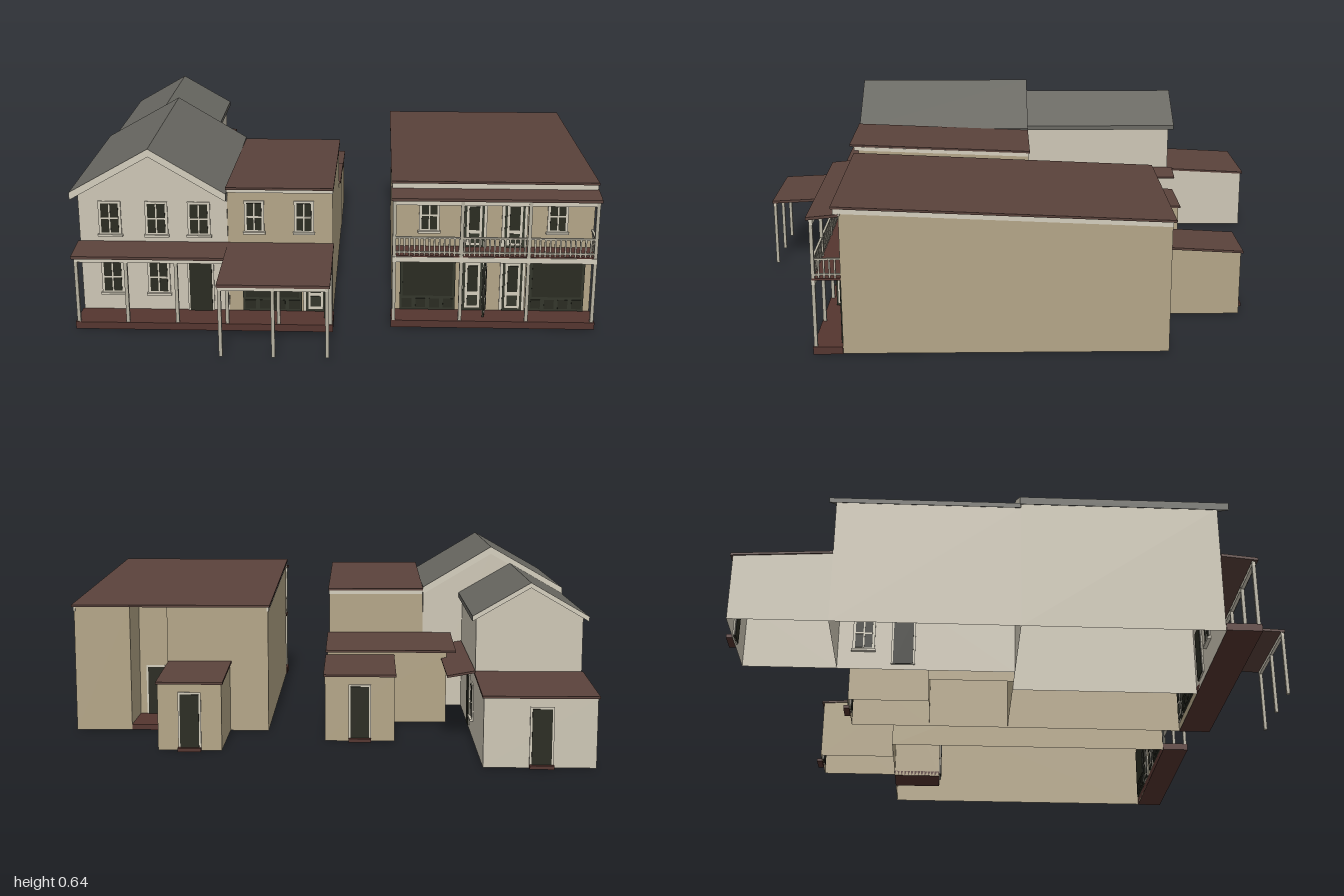
import * as THREE from 'three';

const mat = (name, color, side = THREE.FrontSide) => {
  const m = new THREE.MeshStandardMaterial({ color, side });
  m.name = name;
  return m;
};

export function createModel() {
  const root = new THREE.Group();
  const M = {
    white: mat('whitewash', 0xcdc6b5, THREE.DoubleSide),
    tan: mat('tanBoards', 0xb3a587, THREE.DoubleSide),
    brown: mat('brownRoof', 0x5a423b),
    grey: mat('greyShingle', 0x696862),
    deck: mat('redBrownWood', 0x55352f),
    trim: mat('paleTrim', 0xd3cdbc),
    post: mat('postPaint', 0xb5b0a0),
    glass: mat('darkGlass', 0x2a2b21),
    door: mat('darkGreenWood', 0x33362b),
  };

  const add = (name, geo, material, parent = root) => {
    const mesh = new THREE.Mesh(geo, material);
    mesh.name = name;
    parent.add(mesh);
    return mesh;
  };
  // box from min/max extents
  const box = (name, m, x0, x1, y0, y1, z0, z1, parent) => {
    const b = add(name, new THREE.BoxGeometry(x1 - x0, y1 - y0, z1 - z0), m, parent);
    b.position.set((x0 + x1) / 2, (y0 + y1) / 2, (z0 + z1) / 2);
    return b;
  };
  // open-bottomed wall shell around a plan, with its top following a rule
  const walls = (name, m, plan, top) => {
    const p = [];
    plan.forEach(([xa, za], i) => {
      const [xb, zb] = plan[(i + 1) % plan.length];
      const ya = top(xa, za), yb = top(xb, zb);
      p.push(xa, 0, za, xb, 0, zb, xb, yb, zb, xa, 0, za, xb, yb, zb, xa, ya, za);
    });
    const g = new THREE.BufferGeometry();
    g.setAttribute('position', new THREE.Float32BufferAttribute(p, 3));
    g.computeVertexNormals();
    return add(name, g, m);
  };
  const rect = (x0, x1, z0, z1) => [[x0, z1], [x1, z1], [x1, z0], [x0, z0]];
  // slab sloping along z; y values are its top surface
  const slab = (name, m, x0, x1, zf, yf, zb, yb, t = 0.008) => {
    const g = new THREE.BoxGeometry(x1 - x0, t, zf - zb);
    const a = g.attributes.position;
    for (let i = 0; i < a.count; i++) {
      a.setY(i, a.getY(i) - t / 2 + (a.getZ(i) > 0 ? yf : yb));
    }
    g.computeVertexNormals();
    const s = add(name, g, m);
    s.position.set((x0 + x1) / 2, 0, (zf + zb) / 2);
    return s;
  };
  // pitched roof with pale barge boards at its ends
  const gable = (name, x0, xr, x1, eave, ridge, z0, z1, t) => {
    const s = new THREE.Shape([[x0, eave], [xr, ridge], [x1, eave], [x1, eave - t], [xr, ridge - t], [x0, eave - t]]
      .map(([x, y]) => new THREE.Vector2(x, y)));
    const g = new THREE.ExtrudeGeometry(s, { depth: z1 - z0, bevelEnabled: false });
    add(name, g, [M.trim, M.grey]).position.z = z0;
  };
  // openings face local +z and show on both sides of the wall
  const plate = (g, name, m, w, h, y, t, x = 0) => box(name, m, x - w / 2, x + w / 2, y, y + h, -t / 2, t / 2, g);
  const at = (name, x, y, z, turn = 0) => {
    const g = new THREE.Group();
    g.name = name;
    g.position.set(x, y, z);
    g.rotation.y = turn;
    root.add(g);
    return g;
  };
  const sashWindow = (x, y, z, w, h, turn) => {
    const g = at('sashWindow', x, y, z, turn);
    plate(g, 'windowFrame', M.trim, w + 0.018, h + 0.016, -0.008, 0.01);
    plate(g, 'windowPane', M.glass, w, h, 0, 0.014);
    plate(g, 'verticalBar', M.trim, 0.005, h, 0, 0.018);
    plate(g, 'meetingRail', M.trim, w, 0.006, h / 2 - 0.003, 0.018);
    plate(g, 'windowSill', M.trim, w + 0.026, 0.008, -0.014, 0.026);
  };
  const panelDoor = (g, w, h, t) => {
    plate(g, 'doorBoard', M.door, w, h, 0, t);
    plate(g, 'doorSurround', M.trim, w * 0.76, h * 0.88, h * 0.05, t + 0.004);
    plate(g, 'doorUpperPanel', M.glass, w * 0.52, h * 0.5, h * 0.37, t + 0.008);
    plate(g, 'doorLowerPanel', M.door, w * 0.52, h * 0.2, h * 0.1, t + 0.008);
  };
  const frontDoor = (x, y, z, w, h, ajar) => {
    const g = at('frontDoor', x, y, z);
    plate(g, 'doorCasing', M.trim, w + 0.02, h + 0.01, 0, 0.01);
    panelDoor(g, w, h, 0.014);
    if (!ajar) return;
    // screen door standing open
    const leaf = at('openScreenDoor', x + w / 2 + 0.005, y, z + 0.037, Math.PI / 2 - 0.15);
    panelDoor(leaf, w * 0.85, h, 0.006);
  };
  const plainDoor = (x, y, z, w, h, turn) => {
    const g = at('plainDoor', x, y, z, turn);
    plate(g, 'doorCasing', M.trim, w + 0.014, h + 0.007, 0, 0.01);
    plate(g, 'doorLeaf', M.glass, w, h, 0, 0.016);
  };
  const shopWindow = (x0, x1, y, z, h) => {
    const w = x1 - x0, g = at('shopWindow', (x0 + x1) / 2, y, z);
    plate(g, 'shopCasing', M.door, w, h, 0, 0.012);
    plate(g, 'shopGlass', M.glass, w - 0.02, h * 0.72, h * 0.25, 0.016);
    for (let i = 0; i < 4; i++) {
      plate(g, 'kickPanel', M.glass, w / 4 - 0.014, h * 0.16, h * 0.04, 0.016, (i - 1.5) * (w / 4));
    }
  };
  const post = (x, z, y0, y1) => box('post', M.post, x - 0.006, x + 0.006, y0, y1, z - 0.006, z + 0.006);

  // white gabled house
  const F = 0.65;
  walls('houseWalls', M.white, [[-0.9, F], [-0.64, F], [-0.375, F], [-0.375, -0.025], [-0.64, -0.025], [-0.9, -0.025]],
    (x) => 0.615 - Math.abs(x + 0.64) * 0.57);
  gable('houseRoof', -0.922, -0.64, -0.375, 0.477, 0.637, -0.03, 0.685, 0.028);
  for (const x of [-0.79, -0.625, -0.475]) sashWindow(x, 0.32, F, 0.062, 0.108);
  for (const x of [-0.79, -0.625]) sashWindow(x, 0.098, F, 0.062, 0.108);
  plainDoor(-0.475, 0.025, F, 0.08, 0.185);

  // rear gabled wing
  walls('wingWalls', M.white, [[-0.9, -0.025], [-0.715, -0.025], [-0.53, -0.025], [-0.53, -0.65], [-0.715, -0.65], [-0.9, -0.65]],
    (x) => 0.555 - Math.abs(x + 0.715) * 0.57);
  gable('wingRoof', -0.918, -0.715, -0.515, 0.455, 0.572, -0.672, -0.028, 0.018);
  sashWindow(-0.53, 0.08, -0.56, 0.06, 0.11, Math.PI / 2);
  plainDoor(-0.53, 0.02, -0.42, 0.07, 0.18, Math.PI / 2);
  const awning = box('sideAwning', M.brown, -0.05, 0.05, -0.004, 0.004, -0.32, 0.32);
  awning.position.set(-0.48, 0.25, -0.35);
  awning.rotation.z = -0.18;

  // tan shop attached to the house
  walls('shopWalls', M.tan, rect(-0.374, -0.004, -0.025, F), (x, z) => 0.463 + (z + 0.025) * 0.042);
  slab('shopFrieze', M.trim, -0.374, -0.002, 0.668, 0.491, -0.027, 0.462, 0.014);
  slab('shopRoof', M.brown, -0.375, 0, 0.685, 0.501, -0.03, 0.47);
  for (const x of [-0.28, -0.105]) sashWindow(x, 0.335, F, 0.052, 0.1);
  shopWindow(-0.325, -0.115, 0.028, F, 0.208);
  frontDoor(-0.065, 0.028, F, 0.07, 0.198, true);
  walls('shopRearWalls', M.tan, rect(-0.45, -0.004, -0.33, -0.025), () => 0.268);
  slab('shopRearRoof', M.brown, -0.485, 0.002, -0.025, 0.295, -0.337, 0.275);

  // porch shared by house and shop
  box('longPorchDeck', M.deck, -0.905, 0, 0, 0.026, F, 0.77);
  slab('housePorchRoof', M.brown, -0.908, -0.375, 0.775, 0.274, F, 0.286, 0.01);
  slab('shopPorchRoof', M.brown, -0.375, 0, 1, 0.27, F, 0.286, 0.01);
  box('porchBeam', M.trim, -0.9, -0.375, 0.25, 0.263, 0.755, 0.767);
  box('shopPorchBeam', M.trim, -0.372, -0.004, 0.248, 0.26, 0.985, 0.997);
  for (const x of [-0.894, -0.72, -0.545, -0.37, -0.19, -0.008]) post(x, 0.76, 0.026, 0.264);
  for (const x of [-0.366, -0.19, -0.01]) post(x, 0.991, 0.01, 0.262);

  // tan two-storey store with a recessed back porch
  const S = 0.62;
  walls('storeWalls', M.tan,
    [[0.207, S], [0.913, S], [0.913, -0.48], [0.71, -0.48], [0.71, -0.29], [0.575, -0.29], [0.575, -0.48], [0.207, -0.48]],
    (x, z) => 0.457 + (z + 0.48) * 0.045);
  for (const x of [0.204, 0.908]) slab('storeFrieze', M.trim, x, x + 0.008, S, 0.51, -0.482, 0.459, 0.018);
  box('storeCornice', M.trim, 0.203, 0.917, 0.485, 0.509, S - 0.005, 0.638);
  slab('storeRoof', M.brown, 0.2, 0.92, 0.645, 0.518, -0.492, 0.465);
  box('backPorchDeck', M.deck, 0.575, 0.71, 0, 0.02, -0.48, -0.29);
  plainDoor(0.643, 0.02, -0.29, 0.07, 0.18, Math.PI);

  // store porch and balcony
  box('storePorchDeck', M.deck, 0.202, 0.918, 0, 0.026, S, 0.72);
  box('balconyFloor', M.deck, 0.205, 0.915, 0.262, 0.27, S, 0.715);
  box('balconyBeam', M.trim, 0.205, 0.915, 0.246, 0.265, 0.704, 0.718);
  slab('balconyRoof', M.brown, 0.2, 0.92, 0.726, 0.482, S, 0.492, 0.01);
  box('balconyRoofBeam', M.trim, 0.205, 0.915, 0.455, 0.472, 0.704, 0.716);
  for (const x of [0.212, 0.445, 0.678, 0.908]) post(x, 0.711, 0.026, 0.472);
  for (const y of [0.278, 0.332]) {
    box('frontRail', M.post, 0.21, 0.91, y, y + 0.006, 0.707, 0.715);
    for (const x of [0.212, 0.908]) box('sideRail', M.post, x - 0.004, x + 0.004, y, y + 0.006, S, 0.71);
  }
  const baluster = (x, z) => box('baluster', M.post, x - 0.003, x + 0.003, 0.27, 0.334, z - 0.003, z + 0.003);
  for (let i = 1; i < 40; i++) baluster(0.212 + i * 0.0174, 0.711);
  for (const x of [0.212, 0.908]) for (let i = 1; i < 5; i++) baluster(x, S + i * 0.018);

  // store openings
  for (const x of [0.335, 0.785]) sashWindow(x, 0.335, S, 0.054, 0.105);
  for (const x of [0.493, 0.635]) {
    frontDoor(x, 0.27, S, 0.07, 0.175, false);
    frontDoor(x, 0.028, S, 0.07, 0.198, x < 0.5);
  }
  shopWindow(0.235, 0.432, 0.028, S, 0.215);
  shopWindow(0.695, 0.89, 0.028, S, 0.215);

  // lean-tos at the back, each with a door and a step
  const leanTo = (m, x0, x1, zf, zb, yf, yb, xd) => {
    walls('leanToWalls', m, rect(x0 + 0.005, x1 - 0.005, zb + 0.008, zf), (x, z) => (z === zf ? yf : yb) - 0.007);
    slab('leanToRoof', M.brown, x0, x1, zf, yf, zb, yb);
    plainDoor(xd, 0.012, zb + 0.008, 0.065, 0.185, Math.PI);
    box('backStep', M.deck, xd - 0.04, xd + 0.04, 0, 0.012, zb - 0.014, zb + 0.008);
  };
  leanTo(M.white, -0.905, -0.525, -0.65, -0.985, 0.258, 0.24, -0.72);
  leanTo(M.tan, -0.255, 0.002, -0.33, -0.637, 0.258, 0.24, -0.127);
  leanTo(M.tan, 0.342, 0.572, -0.48, -0.785, 0.258, 0.24, 0.457);

  return root;
}
